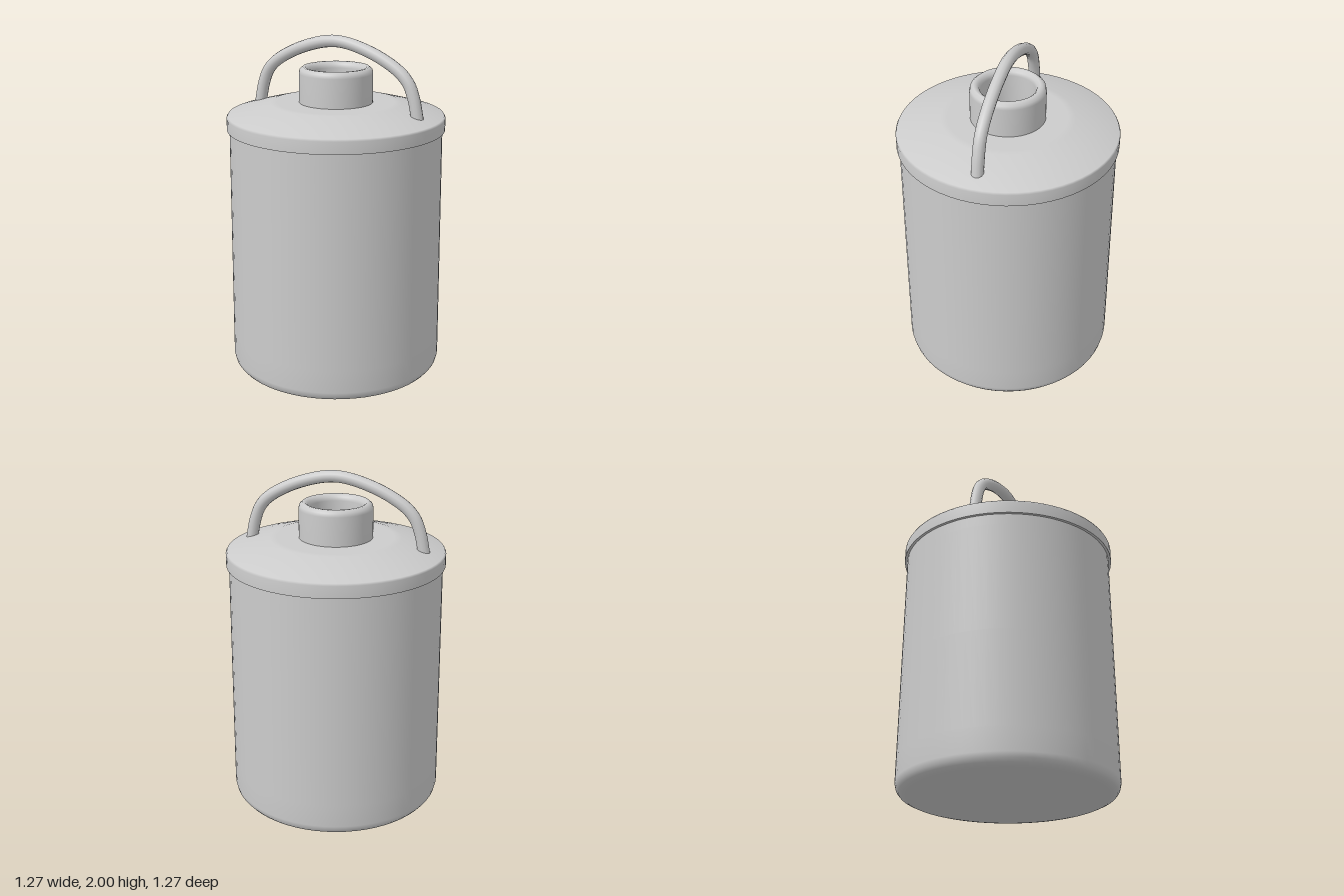
import * as THREE from 'three';

const material = new THREE.MeshStandardMaterial({ color: 0xcccccc });
const V2 = (p) => new THREE.Vector2(p[0], p[1]);

function addMesh(group, name, geometry) {
  const mesh = new THREE.Mesh(geometry, material);
  mesh.name = name;
  group.add(mesh);
}

// Each profile run is smooth; runs meet with a hard edge
function addLathe(group, name, ...runs) {
  const part = new THREE.Group();
  part.name = name;
  runs.forEach((run, i) => addMesh(part, name + 'Surface' + (i + 1), new THREE.LatheGeometry(run.map(V2), 64)));
  group.add(part);
}

export function createModel() {
  const model = new THREE.Group();
  model.name = 'canister';

  // Slightly tapering body with a rounded bottom edge
  addLathe(model, 'body',
    [[0, 0], [0.56, 0], [0.585, 0.004], [0.61, 0.016], [0.625, 0.035], [0.632, 0.065],
      [0.631, 0.2], [0.626, 0.75], [0.62, 1.4], [0.619, 1.5]]);

  // Overhanging lid: underside, then rim, shoulder and flat top
  addLathe(model, 'lid',
    [[0.58, 1.465], [0.635, 1.465]],
    [[0.635, 1.465], [0.635, 1.535], [0.628, 1.547], [0.5, 1.583], [0.38, 1.614], [0.34, 1.616], [0, 1.616]]);

  // Hollow neck with a rounded lip
  addLathe(model, 'neck',
    [[0.214, 1.6], [0.214, 1.785], [0.209, 1.806], [0.192, 1.821], [0.176, 1.82],
      [0.16, 1.806], [0.154, 1.785], [0.154, 1.612]]);

  // Arched carrying handle, mirrored about its crown
  const half = [[0.522, 1.55], [0.494, 1.68], [0.458, 1.765], [0.39, 1.832], [0.21, 1.922]];
  const path = [...half, [0, 1.966], ...half.map(([x, y]) => [-x, y]).reverse()]
    .map(([x, y]) => new THREE.Vector3(x, y, 0));
  addMesh(model, 'handle', new THREE.TubeGeometry(new THREE.CatmullRomCurve3(path), 64, 0.035, 12));

  // Caps that close the handle ends
  for (const side of [1, -1]) {
    const cap = new THREE.Mesh(new THREE.CircleGeometry(0.035, 12), material);
    cap.name = side > 0 ? 'leftHandleEnd' : 'rightHandleEnd';
    cap.position.set(side * 0.522, 1.55, 0);
    cap.lookAt(side * 0.55, 1.42, 0);
    model.add(cap);
  }
  return model;
}
